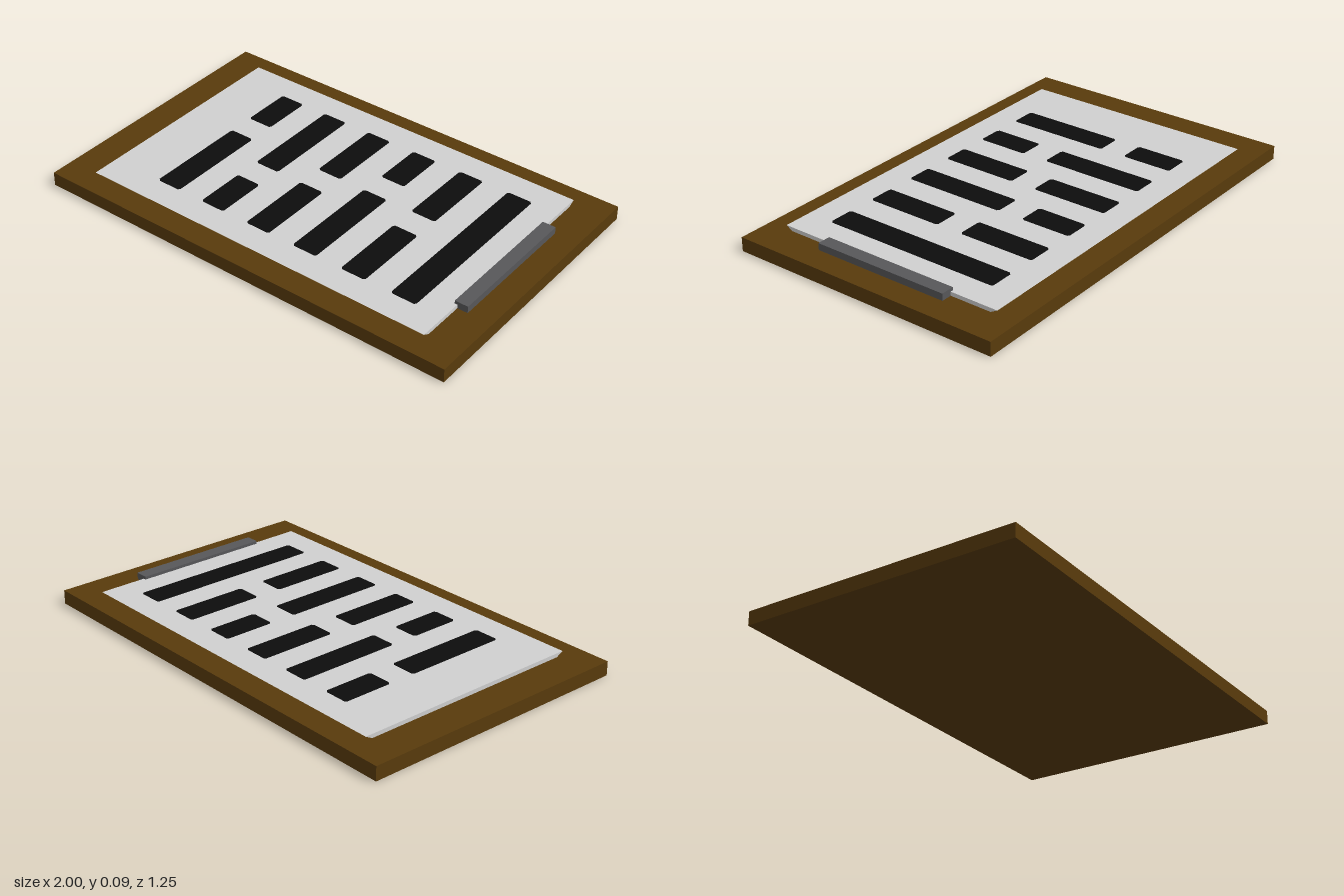
import * as THREE from 'three';

const BOARD_TOP = 0.0625, SHEET_TOP = 0.08;

export function createModel() {
  const model = new THREE.Group();
  const mat = (name, color) => {
    const m = new THREE.MeshStandardMaterial({ color });
    m.name = name;
    return m;
  };
  const wood = mat('brown wood', 0x593b0c);
  const paper = mat('pale grey sheet', 0xd0d0d0);
  const ink = mat('black', 0x0d0d0d);
  const metal = mat('dark grey metal', 0x58585a);

  const add = (name, geometry, material, parent = model) => {
    const mesh = new THREE.Mesh(geometry, material);
    mesh.name = name;
    parent.add(mesh);
    return mesh;
  };
  // Solid with the given outline, extruded and centred on its depth
  const prism = (points, depth) => {
    const shape = new THREE.Shape(points.map(([x, y]) => new THREE.Vector2(x, y)));
    return new THREE.ExtrudeGeometry(shape, { depth, bevelEnabled: false }).translate(0, 0, -depth / 2);
  };

  // Flat base board
  add('board', new THREE.BoxGeometry(2, BOARD_TOP, 1.25).translate(0, BOARD_TOP / 2, 0), wood);

  // Sheet whose long edges lift away from the board
  add('sheet', prism([[-0.5, BOARD_TOP], [0.5, BOARD_TOP], [0.532, SHEET_TOP], [-0.532, SHEET_TOP]], 1.686)
    .rotateY(Math.PI / 2), paper);

  // Clip bar holding one short edge, undercut where it overlaps the sheet
  add('clip', prism([[0.845, BOARD_TOP], [0.89, BOARD_TOP], [0.89, 0.0935], [0.83, 0.0935], [0.83, SHEET_TOP]], 0.625), metal);

  // Thin bar with clipped corners, running from z0 to z1
  const barGeometry = (z0, z1) => {
    const w = 0.058, h = (z1 - z0) / 2, c = 0.008;
    const outline = [[w, c - h], [w, h - c], [w - c, h], [c - w, h], [-w, h - c], [-w, c - h], [c - w, -h], [w - c, -h]];
    return prism(outline, 0.002).rotateX(-Math.PI / 2).translate(0, 0, (z0 + z1) / 2);
  };

  // Columns of bars; each gap is 0.12 long
  const END = 0.41;
  const gapCentres = [-0.12, 0.12, 0, -0.12, 0, null];
  const bars = new THREE.Group();
  bars.name = 'bars';
  model.add(bars);
  gapCentres.forEach((gap, i) => {
    const spans = gap === null ? [[-END, END]] : [[-END, gap - 0.06], [gap + 0.06, END]];
    spans.forEach(([z0, z1]) => {
      add('bar', barGeometry(z0, z1), ink, bars).position.set(-0.54 + 0.24 * i, SHEET_TOP + 0.001, 0);
    });
  });

  return model;
}
